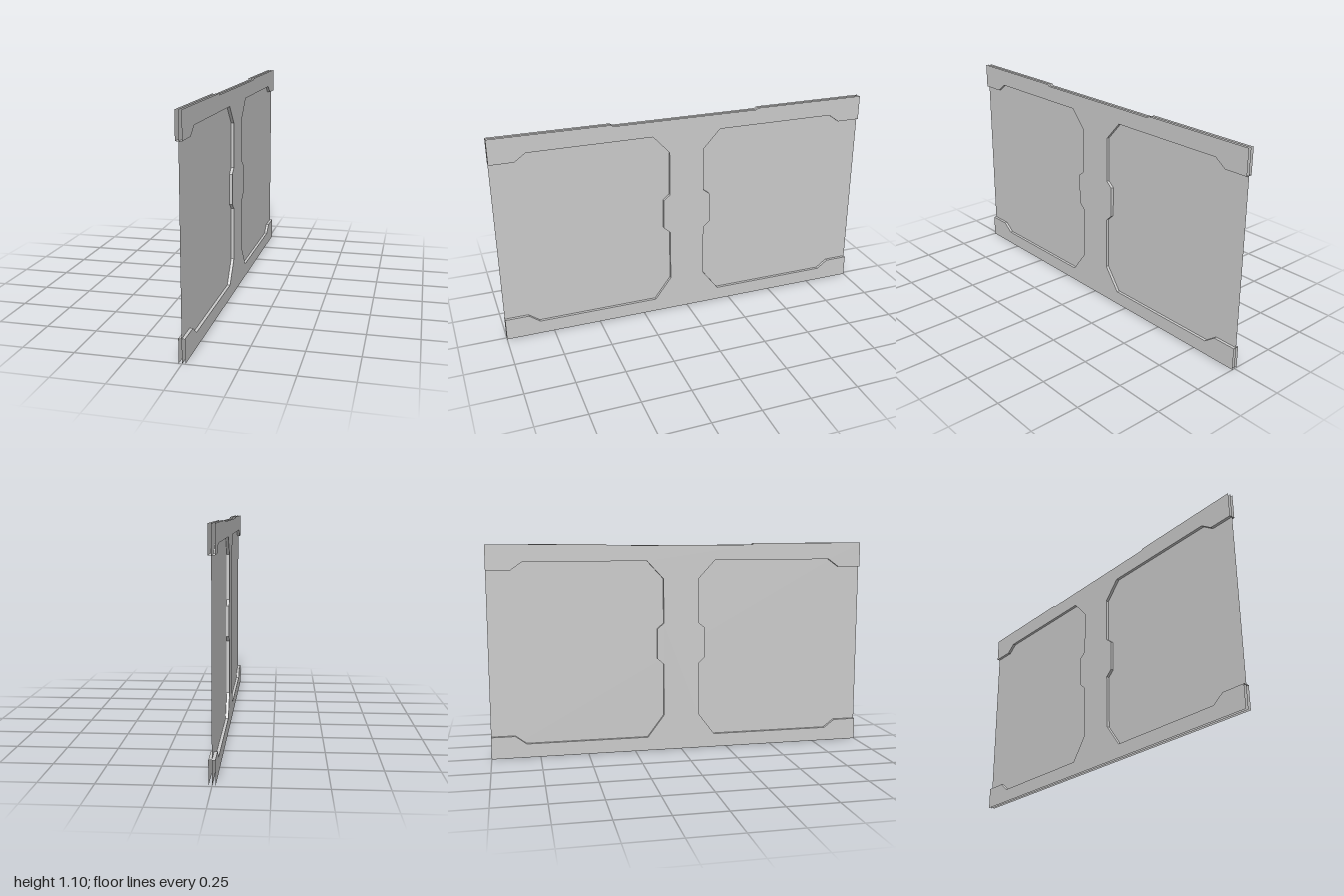
import * as THREE from 'three';

const HALF_THICKNESS = 0.015;

// Border of one recessed bay as [z, y], from the lower outer end to the upper one
const BAY = [
  [1, 0.115], [0.877, 0.115], [0.82, 0.072], [0.182, 0.072], [0.094, 0.189],
  [0.094, 0.465], [0.129, 0.496], [0.129, 0.655], [0.094, 0.683],
  [0.094, 0.917], [0.182, 1.012], [0.82, 1.012], [0.877, 0.971], [1, 0.971],
];

// Top edge with its shallow dip, from +z to -z
const TOP = [[1, 1.1], [0.395, 1.1], [0.385, 1.092], [-0.385, 1.092], [-0.395, 1.1], [-1, 1.1]];

const mirror = (points) => points.map(([z, y]) => [-z, y]);

// Flat sheet from a [z, y] outline, standing in the plane at x
function sheet(name, outline, x, material) {
  const shape = new THREE.Shape(outline.map(([z, y]) => new THREE.Vector2(z, y)));
  const geometry = new THREE.ShapeGeometry(shape);
  geometry.rotateY(-Math.PI / 2);
  const mesh = new THREE.Mesh(geometry, material);
  mesh.name = name;
  mesh.position.x = x;
  return mesh;
}

// Narrow wall that follows a [z, y] path through the full thickness
function wall(name, path, material) {
  const t = HALF_THICKNESS;
  const positions = [];
  for (let i = 0; i < path.length - 1; i++) {
    const [z0, y0] = path[i];
    const [z1, y1] = path[i + 1];
    positions.push(-t, y0, z0, t, y0, z0, t, y1, z1);
    positions.push(-t, y0, z0, t, y1, z1, -t, y1, z1);
  }
  const geometry = new THREE.BufferGeometry();
  geometry.setAttribute('position', new THREE.Float32BufferAttribute(positions, 3));
  geometry.computeVertexNormals();
  const mesh = new THREE.Mesh(geometry, material);
  mesh.name = name;
  return mesh;
}

export function createModel() {
  const group = new THREE.Group();
  group.name = 'wallPanel';
  const material = new THREE.MeshStandardMaterial({ color: 0xcccccc, side: THREE.DoubleSide });

  // Recessed core sheet behind both bays
  group.add(sheet('coreSheet', [[-1, 0], [1, 0], ...TOP], 0, material));

  // I-shaped frame sheets on both faces
  const frame = [[-1, 0], [1, 0], ...BAY, ...TOP, ...mirror(BAY).reverse()];
  group.add(sheet('leftFrameSheet', frame, HALF_THICKNESS, material));
  group.add(sheet('rightFrameSheet', frame, -HALF_THICKNESS, material));

  // Walls around the bays
  group.add(wall('frontBayWall', BAY, material));
  group.add(wall('backBayWall', mirror(BAY).reverse(), material));

  return group;
}
